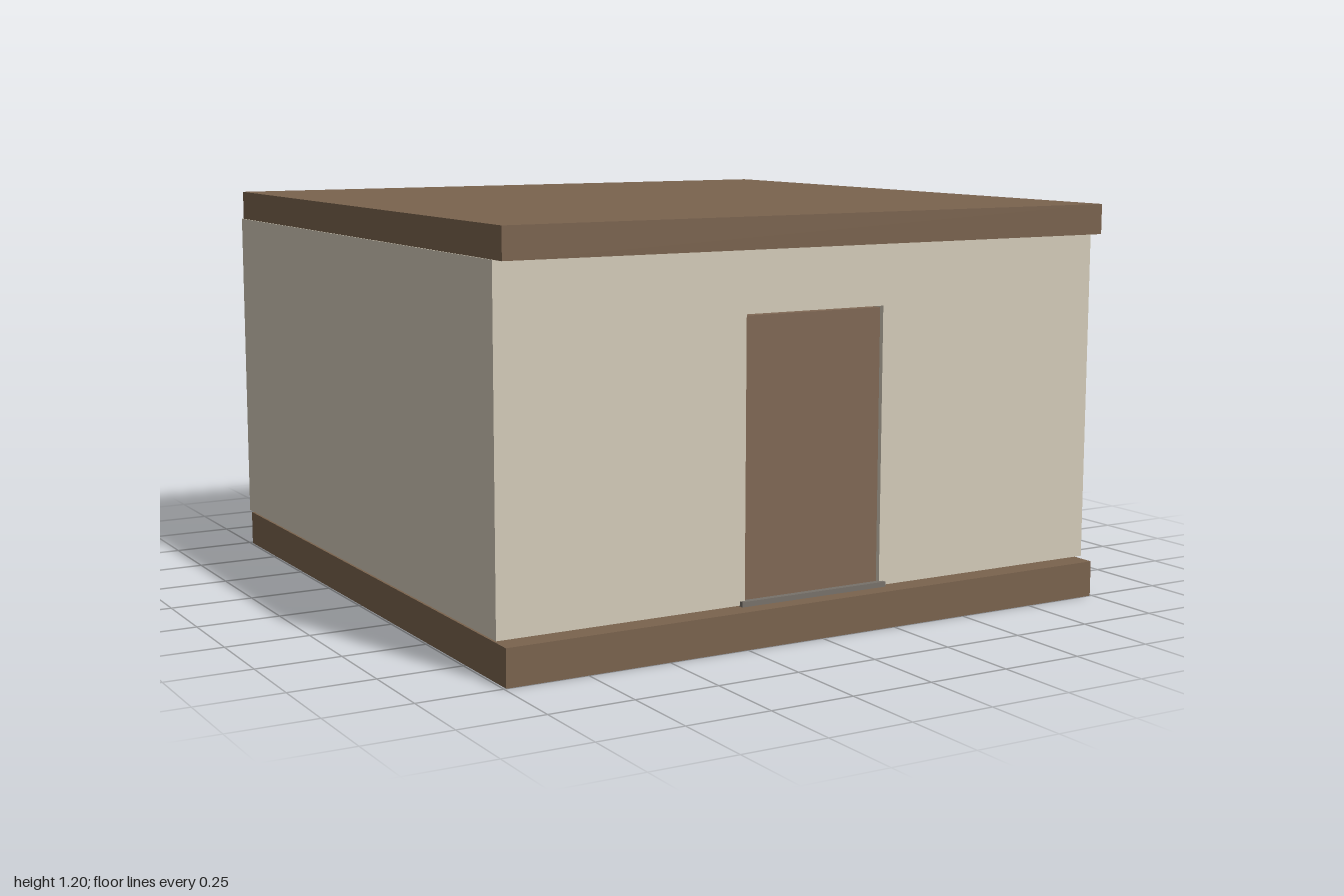
import * as THREE from 'three';

const brown = new THREE.MeshStandardMaterial({ color: 0x7a634e });
const plaster = new THREE.MeshStandardMaterial({ color: 0xd3cbb9 });
const doorBrown = new THREE.MeshStandardMaterial({ color: 0x806854 });
const stone = new THREE.MeshStandardMaterial({ color: 0x77716a });

export function createModel() {
  const group = new THREE.Group();

  // Box given by its lower and upper corners
  const block = (name, material, [x0, y0, z0], [x1, y1, z1]) => {
    const mesh = new THREE.Mesh(new THREE.BoxGeometry(x1 - x0, y1 - y0, z1 - z0), material);
    mesh.position.set((x0 + x1) / 2, (y0 + y1) / 2, (z0 + z1) / 2);
    mesh.name = name;
    group.add(mesh);
  };

  const bottom = 0.115, top = 1.11, half = 0.997, back = -0.995, front = 0.95, t = 0.04;

  // Floor and flat roof slabs
  block('floorSlab', brown, [-0.993, 0, -0.988], [0.993, 0.108, 1]);
  block('roofSlab', brown, [-0.993, top, -0.988], [0.993, 1.2, 1]);

  // Side and back walls
  for (const [name, s] of [['leftWall', 1], ['rightWall', -1]]) {
    const inner = s * (half - t), outer = s * half;
    block(name, plaster, [Math.min(inner, outer), bottom, back + t], [Math.max(inner, outer), top, front - t]);
  }
  block('backWall', plaster, [-half, bottom, back], [half, top, back + t]);

  // Front wall with a doorway cut up from its lower edge
  const doorHalf = 0.23, doorTop = 0.93;
  const outline = new THREE.Shape([
    [-half, bottom], [-doorHalf, bottom], [-doorHalf, doorTop], [doorHalf, doorTop],
    [doorHalf, bottom], [half, bottom], [half, top], [-half, top],
  ].map(([x, y]) => new THREE.Vector2(x, y)));
  const frontWall = new THREE.Mesh(
    new THREE.ExtrudeGeometry(outline, { depth: t, bevelEnabled: false }), plaster);
  frontWall.position.z = front - t;
  frontWall.name = 'frontWall';
  group.add(frontWall);

  // Door set slightly back, with a thin threshold
  block('door', doorBrown, [-0.225, 0.127, front - t], [0.225, 0.925, front - 0.008]);
  block('threshold', stone, [-0.245, 0.112, front - t], [0.245, 0.127, front + 0.012]);

  return group;
}
